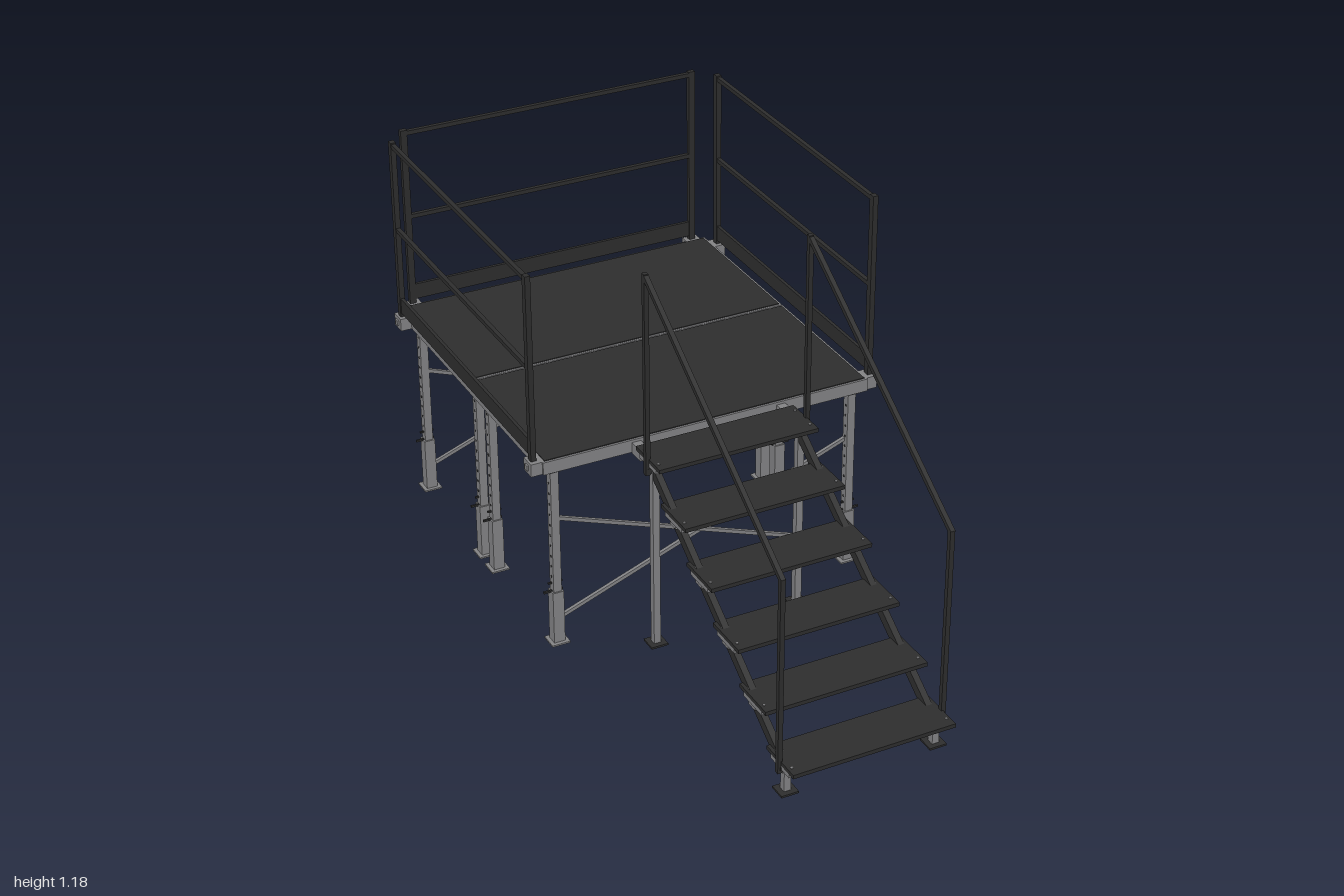
import * as THREE from 'three';

export function createModel() {
  const root = new THREE.Group();
  root.name = 'stagePlatformWithStairs';
  const steel = new THREE.MeshStandardMaterial({ color: 0x828284 });
  steel.name = 'galvanised grey';
  const black = new THREE.MeshStandardMaterial({ color: 0x2d2d2d });
  black.name = 'matt black';

  const group = (name, parent = root) => {
    const g = new THREE.Group();
    g.name = name;
    parent.add(g);
    return g;
  };
  // Box given by its lower and upper bounds on each axis
  const box = (parent, name, mat, x0, x1, y0, y1, z0, z1) => {
    const m = new THREE.Mesh(new THREE.BoxGeometry(x1 - x0, y1 - y0, z1 - z0), mat);
    m.position.set((x0 + x1) / 2, (y0 + y1) / 2, (z0 + z1) / 2);
    m.name = name;
    parent.add(m);
    return m;
  };
  // Upright bar with a square section
  const post = (parent, name, mat, x, z, y0, y1, w, d = w) =>
    box(parent, name, mat, x - w / 2, x + w / 2, y0, y1, z - d / 2, z + d / 2);
  // Bar between two points
  const bar = (parent, name, mat, a, b, w, h = w) => {
    const p = new THREE.Vector3(...a), q = new THREE.Vector3(...b);
    const m = new THREE.Mesh(new THREE.BoxGeometry(w, h, p.distanceTo(q)), mat);
    m.position.copy(p).add(q).multiplyScalar(0.5);
    m.lookAt(q);
    m.name = name;
    parent.add(m);
    return m;
  };

  // Two deck modules: grey frame, joists, black boards
  const W = 0.51;
  for (const [z0, z1] of [[-0.97, -0.461], [-0.459, 0.05]]) {
    const deck = group('deck');
    const t = 0.022;
    box(deck, 'frameRail', steel, -W, W, 0.575, 0.614, z0, z0 + t);
    box(deck, 'frameRail', steel, -W, W, 0.575, 0.614, z1 - t, z1);
    for (const s of [-1, 1]) {
      const x = s * (W - t / 2);
      box(deck, 'frameSide', steel, x - t / 2, x + t / 2, 0.575, 0.614, z0 + t, z1 - t);
      box(deck, 'joist', steel, s * 0.17 - 0.011, s * 0.17 + 0.011, 0.582, 0.604, z0 + t, z1 - t);
    }
    box(deck, 'deckBoard', black, -W + 0.007, W - 0.007, 0.603, 0.6165, z0 + 0.007, z1 - 0.007);
  }

  // Telescopic legs with foot plate, sleeve, pin and adjustment holes
  const holeGeo = new THREE.CylinderGeometry(0.004, 0.004, 0.002, 10).rotateZ(Math.PI / 2);
  for (const s of [-1, 1]) {
    for (const z of [0.02, -0.405, -0.495, -0.92]) {
      const leg = group('leg');
      const x = s * 0.47;
      post(leg, 'footPlate', steel, x, z, 0, 0.005, 0.056);
      post(leg, 'lowerSleeve', steel, x, z, 0.005, 0.172, 0.034);
      post(leg, 'upperTube', steel, x, z, 0.17, 0.58, 0.025);
      post(leg, 'topPlate', steel, x, z, 0.566, 0.576, 0.036);
      bar(leg, 'pin', black, [x - s * 0.02, 0.172, z], [x + s * 0.038, 0.172, z], 0.006);
      bar(leg, 'lockPin', black, [x - s * 0.02, 0.199, z], [x + s * 0.024, 0.199, z], 0.005);
      for (let y = 0.22; y < 0.56; y += 0.034) {
        for (const f of [-1, 1]) {
          const hole = new THREE.Mesh(holeGeo, black);
          hole.name = 'adjustmentHole';
          hole.position.set(x + f * 0.0125, y, z);
          leg.add(hole);
        }
      }
    }
  }

  // Crossed braces across the front and back leg pairs
  for (const z of [0.02, -0.92]) {
    const braces = group('crossBraces');
    for (const s of [-1, 1]) {
      const zz = z + s * 0.007;
      bar(braces, 'brace', steel, [-s * 0.46, 0.412, zz], [s * 0.46, 0.072, zz], 0.011);
    }
  }

  // Guard rail of a given half length, built along x at the origin
  const guardRail = (name) => {
    const g = group(name);
    const h = 0.47;
    for (const s of [-1, 1]) {
      post(g, 'post', black, s * h, 0, 0.58, 1.18, 0.02, 0.016);
      box(g, 'clamp', steel, s * h - 0.024, s * h + 0.024, 0.575, 0.614, -0.025, 0.015);
      box(g, 'clampBolt', steel, s * h - 0.008, s * h + 0.008, 0.587, 0.603, 0.014, 0.02);
    }
    box(g, 'topRail', black, -h, h, 1.163, 1.176, -0.0065, 0.0065);
    box(g, 'midRail', black, -h, h, 0.894, 0.907, -0.0065, 0.0065);
    box(g, 'toeBoard', black, -h, h, 0.626, 0.675, -0.005, 0.005);
    return g;
  };
  const back = guardRail('backGuardRail');
  back.rotation.y = Math.PI;
  back.position.z = -0.983;
  for (const s of [-1, 1]) {
    const side = guardRail(s > 0 ? 'leftGuardRail' : 'rightGuardRail');
    side.rotation.y = s * Math.PI / 2;
    side.position.set(s * 0.529, 0, -0.45);
  }

  // Stairs: treads with end brackets
  const stairs = group('stairs');
  const RUN = 0.1535, RISE = 0.102;
  for (let i = 0; i < 6; i++) {
    const z1 = 1 - i * RUN, y = 0.1 + i * RISE;
    box(stairs, 'tread', black, -0.247, 0.247, y - 0.006, y + 0.006, z1 - 0.146, z1);
    for (const s of [-1, 1]) {
      const x = s * 0.227;
      box(stairs, 'treadBracket', steel, x - 0.019, x + 0.019, y - 0.02, y - 0.006, z1 - 0.125, z1 - 0.025);
      post(stairs, 'bracketClamp', steel, x, z1 - 0.085, y - 0.034, y - 0.02, 0.03, 0.035);
      for (const dz of [0.03, 0.115])
        post(stairs, 'bolt', steel, s * 0.235, z1 - dz, y + 0.005, y + 0.008, 0.006);
    }
  }

  // Stringers, supports, hooks and handrails on both sides
  for (const s of [-1, 1]) {
    const x = s * 0.227, xr = s * 0.249;
    bar(stairs, 'stringer', black, [x, 0.065, 0.93], [x, 0.578, 0.155], 0.019, 0.03);
    for (const [z, top] of [[0.925, 0.075], [0.16, 0.575]]) {
      post(stairs, 'footPlate', black, x, z, 0, 0.006, 0.052);
      post(stairs, 'stairLeg', steel, x, z, 0.006, top, 0.021);
    }
    box(stairs, 'deckHook', steel, x - 0.014, x + 0.014, 0.572, 0.606, 0.048, 0.1);
    box(stairs, 'hookArm', steel, x - 0.01, x + 0.01, 0.585, 0.606, 0.09, 0.2);

    const rail = group('handrail', stairs);
    post(rail, 'lowerPost', black, xr, 0.926, 0.068, 0.672, 0.014);
    post(rail, 'upperPost', black, xr, 0.16, 0.565, 1.183, 0.014);
    bar(rail, 'slopingRail', black, [xr, 0.668, 0.93], [xr, 1.178, 0.157], 0.014);
    for (const [z, y] of [[0.926, 0.08], [0.16, 0.578]])
      bar(rail, 'postMount', black, [x, y, z], [xr, y, z], 0.016);
  }
  return root;
}
